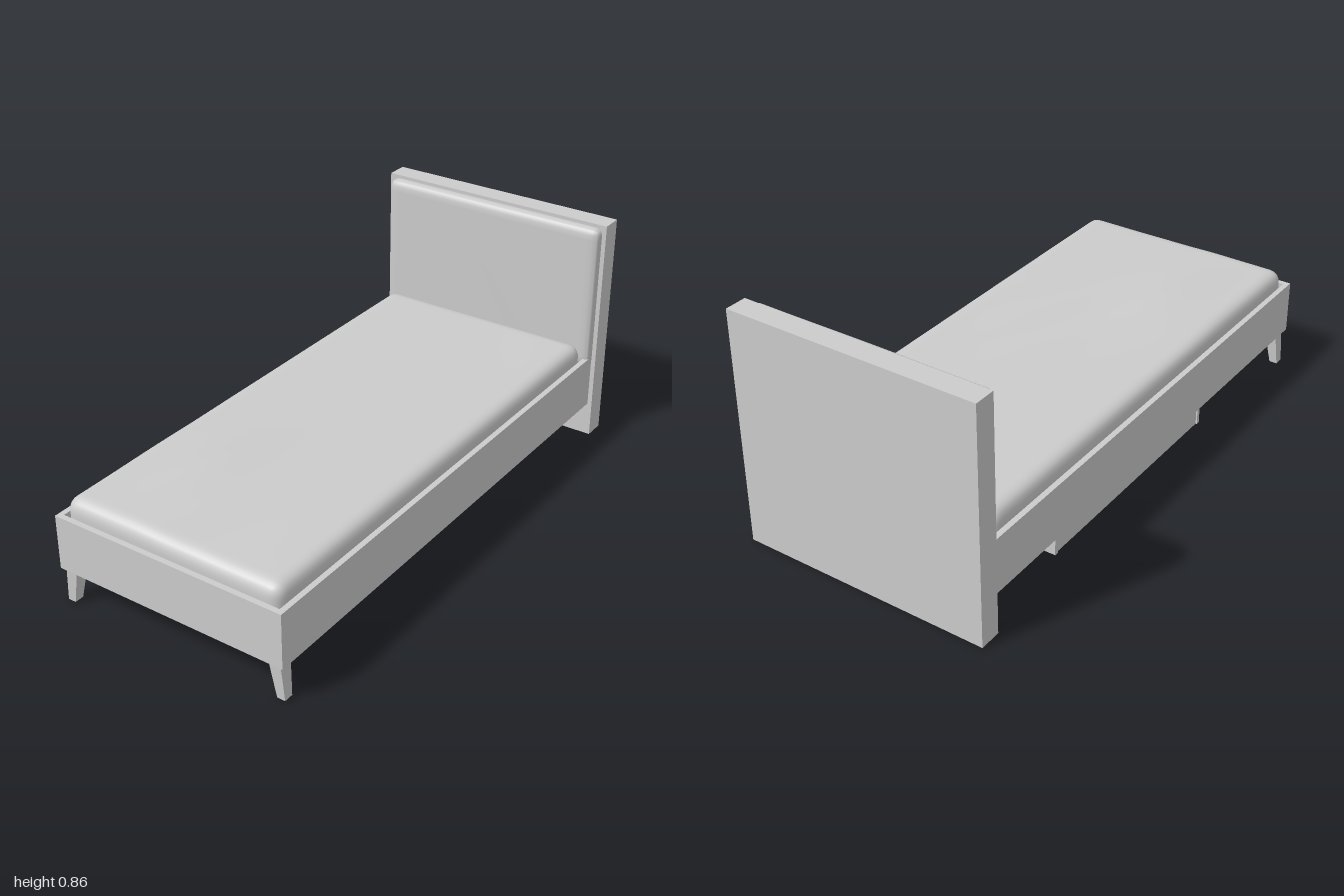
import * as THREE from 'three';
import { mergeVertices } from 'three/addons/utils/BufferGeometryUtils.js';

const grey = new THREE.MeshStandardMaterial({ color: 0xcccccc });
grey.name = 'light grey';

// Box given by its min and max on each axis
function block(parent, name, [x0, x1], [y0, y1], [z0, z1]) {
  const mesh = new THREE.Mesh(new THREE.BoxGeometry(x1 - x0, y1 - y0, z1 - z0), grey);
  mesh.position.set((x0 + x1) / 2, (y0 + y1) / 2, (z0 + z1) / 2);
  mesh.name = name;
  parent.add(mesh);
}

// Soft rounded box: each vertex is pulled onto a radius r, then displaced by a rule
function cushion(size, segments, r, displace) {
  let geo = new THREE.BoxGeometry(...size, ...segments);
  geo.deleteAttribute('uv');
  geo.deleteAttribute('normal');
  geo = mergeVertices(geo, 1e-5);
  const inner = new THREE.Vector3(...size).multiplyScalar(0.5).subScalar(r);
  const low = inner.clone().negate();
  const pos = geo.attributes.position;
  const p = new THREE.Vector3(), core = new THREE.Vector3();
  for (let i = 0; i < pos.count; i++) {
    p.fromBufferAttribute(pos, i);
    core.copy(p).clamp(low, inner);
    p.sub(core).setLength(r).add(core);
    displace(p);
    pos.setXYZ(i, p.x, p.y, p.z);
  }
  geo.computeVertexNormals();
  return geo;
}

// Falls smoothly from 1 at the origin towards 0
const bell = (a, b) => Math.exp(-(a * a + b * b));

// Tapered leg splayed outwards, side = +1 or -1
function leg(side) {
  const geo = new THREE.BoxGeometry(1, 1, 1);
  const pos = geo.attributes.position;
  for (let i = 0; i < pos.count; i++) {
    const top = pos.getY(i) > 0;
    const outer = pos.getX(i) * side > 0;
    const front = pos.getZ(i) > 0;
    const x = outer ? (top ? 0.43 : 0.44) : (top ? 0.385 : 0.41);
    const z = front ? (top ? 0.99 : 0.985) : (top ? 0.94 : 0.95);
    pos.setXYZ(i, x * side, top ? 0.131 : 0, z);
  }
  geo.computeVertexNormals();
  const mesh = new THREE.Mesh(geo, grey);
  mesh.name = side > 0 ? 'leftLeg' : 'rightLeg';
  return mesh;
}

export function createModel() {
  const bed = new THREE.Group();
  bed.name = 'bed';

  // Headboard slab and its upholstered pad
  block(bed, 'headboard', [-0.462, 0.462], [0, 0.86], [-1, -0.92]);
  const pad = new THREE.Mesh(
    cushion([0.892, 0.55, 0.07], [40, 26, 6], 0.022, (p) => {
      p.z += p.z > 0 ? 0.001 * Math.sin(p.x * 9 + p.y * 6) : 0;
    }), grey);
  pad.position.set(0, 0.572, -0.92);
  pad.name = 'headboardPad';
  bed.add(pad);

  // Bed frame with the board carrying the mattress
  const frame = new THREE.Group();
  frame.name = 'frame';
  for (const s of [-1, 1]) {
    const xs = s > 0 ? [0.425, 0.445] : [-0.445, -0.425];
    block(frame, s > 0 ? 'leftRail' : 'rightRail', xs, [0.13, 0.33], [-0.92, 1]);
    frame.add(leg(s));
  }
  block(frame, 'footRail', [-0.425, 0.425], [0.13, 0.33], [0.98, 1]);
  block(frame, 'footLedge', [-0.425, 0.425], [0.13, 0.145], [0.94, 0.98]);
  block(frame, 'mattressBase', [-0.425, 0.425], [0.2, 0.215], [-0.92, 0.98]);
  bed.add(frame);

  // Mattress with soft diagonal creases towards the foot
  const mattress = new THREE.Mesh(
    cushion([0.848, 0.178, 1.862], [56, 10, 110], 0.045, (p) => {
      if (p.y <= 0) return;
      const lift = p.y / 0.089;
      const mound = 0.012 * bell((p.x + 0.18) / 0.16, (p.z - 0.5) / 0.3);
      const crease = 0.0025 * Math.sin(28 * (p.x + 0.45 * p.z))
        * bell((p.x + 0.1) / 0.3, (p.z - 0.45) / 0.35);
      p.y += lift * (mound + crease + 0.0015 * Math.sin(p.x * 7) * Math.sin(p.z * 4));
    }), grey);
  mattress.position.set(0, 0.304, 0.047);
  mattress.name = 'mattress';
  bed.add(mattress);

  // Storage drawer under the bed: end panels run past the front and back walls
  const drawer = new THREE.Group();
  drawer.name = 'drawer';
  block(drawer, 'drawerFootEnd', [-0.395, 0.315], [0, 0.19], [0.405, 0.42]);
  block(drawer, 'drawerHeadEnd', [-0.395, 0.315], [0, 0.19], [-0.515, -0.5]);
  block(drawer, 'drawerFront', [-0.39, -0.375], [0, 0.19], [-0.5, 0.405]);
  block(drawer, 'drawerBack', [0.23, 0.245], [0, 0.19], [-0.5, 0.405]);
  block(drawer, 'drawerBottom', [-0.375, 0.23], [0.005, 0.015], [-0.5, 0.405]);
  bed.add(drawer);

  return bed;
}
